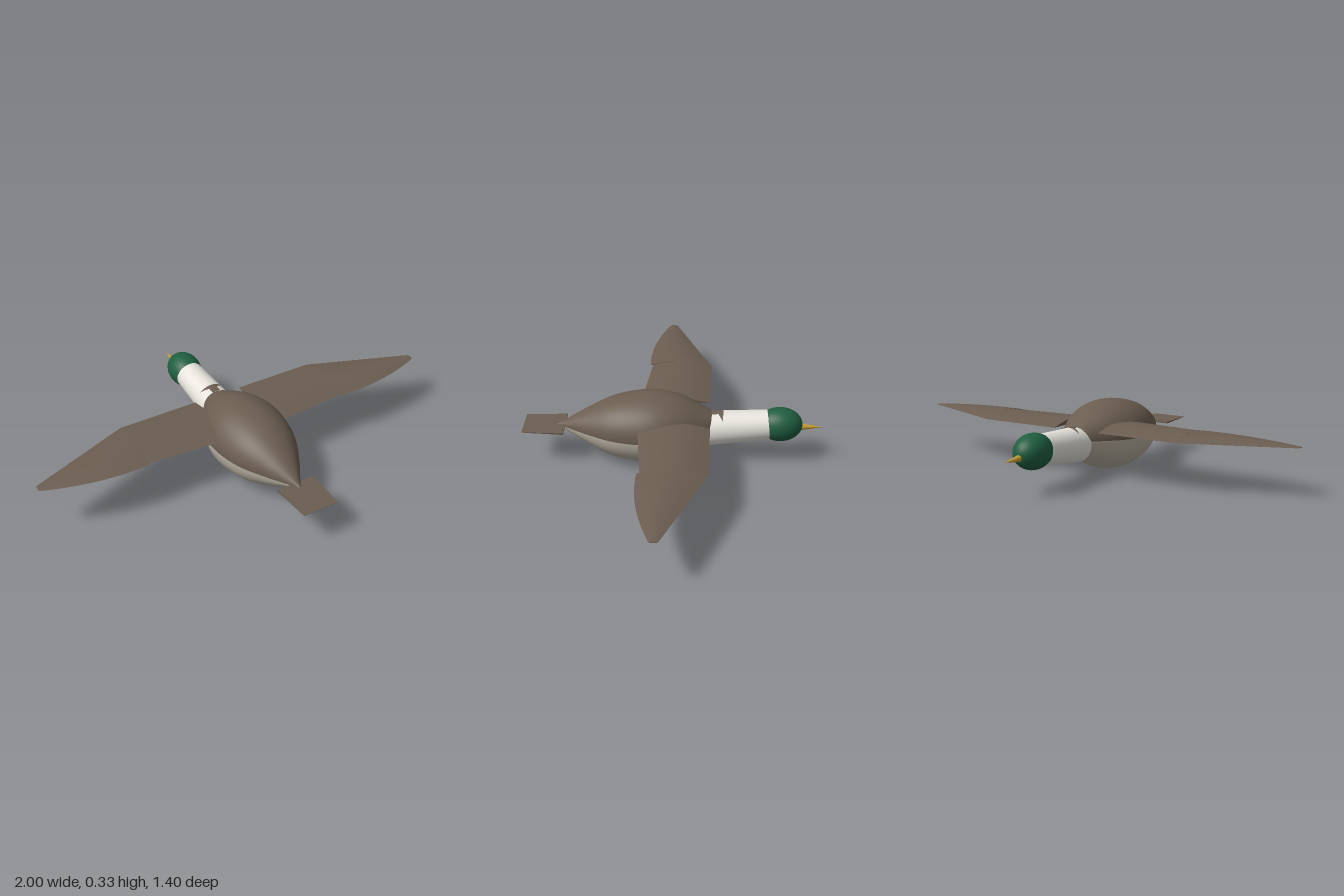
import * as THREE from 'three';
import { ParametricGeometry } from 'three/addons/geometries/ParametricGeometry.js';

const mat = (name, color, side = THREE.FrontSide) =>
  new THREE.MeshStandardMaterial({ name, color, side });

export function createModel() {
  const model = new THREE.Group();
  model.name = 'flyingDuck';
  const brown = mat('featherBrown', 0x6b5d50, THREE.DoubleSide);
  const beige = mat('bellyBeige', 0xb7afa0, THREE.DoubleSide);
  const white = mat('neckWhite', 0xe6e3dc);
  const green = mat('headGreen', 0x1f5e40);
  const gold = mat('beakGold', 0xc8a032);

  const add = (name, geometry, material, parent = model) => {
    const mesh = new THREE.Mesh(geometry, material);
    mesh.name = name;
    parent.add(mesh);
    return mesh;
  };
  const surface = (name, fn, nu, nv, material, parent) =>
    add(name, new ParametricGeometry(fn, nu, nv), material, parent);

  // Body: elliptical sections along z, given as (axis height, radius, z)
  const spine = new THREE.CatmullRomCurve3([
    [0.184, 0.03, -0.225], [0.182, 0.06, -0.185], [0.179, 0.092, -0.13], [0.175, 0.134, -0.05],
    [0.17, 0.16, 0.04], [0.167, 0.165, 0.13], [0.165, 0.14, 0.27], [0.164, 0.081, 0.4],
    [0.163, 0.014, 0.52], [0.163, 0.001, 0.55],
  ].map((p) => new THREE.Vector3(...p)));
  const half = (start) => (u, v, target) => {
    const p = spine.getPoint(v);
    const a = start + u * Math.PI;
    target.set(Math.cos(a) * p.y * 1.12, p.x + Math.sin(a) * p.y, p.z);
  };
  surface('bodyBack', half(0), 24, 40, brown);
  surface('bodyBelly', half(Math.PI), 24, 40, beige);

  // Neck: tapered cylinder rising gently forwards
  const from = new THREE.Vector3(0, 0.161, -0.17);
  const to = new THREE.Vector3(0, 0.187, -0.47);
  const dir = to.clone().sub(from);
  const neck = add('neck', new THREE.CylinderGeometry(0.068, 0.082, dir.length(), 32), white);
  neck.position.copy(from).add(to).multiplyScalar(0.5);
  neck.quaternion.setFromUnitVectors(new THREE.Vector3(0, 1, 0), dir.normalize());

  // Nape: brown feathers curved over the neck, widening towards the head
  surface('napePatch', (u, v, target) => {
    const z = -0.235 + 0.055 * v;
    const k = (-0.17 - z) / 0.3;
    const r = 0.085 - 0.014 * k;
    const a = Math.PI / 2 + (2 * u - 1) * (0.25 + 0.55 * Math.max(0, 1 - 2.5 * v));
    target.set(Math.cos(a) * r, 0.161 + 0.026 * k + Math.sin(a) * r, z);
  }, 12, 10, brown);

  // Head and beak
  const head = add('head', new THREE.SphereGeometry(1, 32, 24), green);
  head.scale.set(0.079, 0.08, 0.105);
  head.position.set(0, 0.188, -0.5);
  const beak = add('beak', new THREE.ConeGeometry(0.02, 0.13, 16), gold);
  beak.rotation.x = -Math.PI / 2;
  beak.position.set(0, 0.176, -0.635);

  // Tail: thin wedge narrowing backwards, beige below
  const tailGeometry = new THREE.BoxGeometry(0.188, 0.008, 0.195);
  const corner = tailGeometry.attributes.position;
  for (let i = 0; i < corner.count; i++) {
    if (corner.getZ(i) > 0) corner.setXY(i, corner.getX(i) * 0.915, corner.getY(i) * 0.15);
  }
  tailGeometry.computeVertexNormals();
  const tail = add('tail', tailGeometry, [brown, brown, brown, beige, brown, brown]);
  tail.position.set(0, 0.163, 0.6025);

  // Wing sections: plan edges and arch height along t
  const inner = {
    name: 'innerWing', x0: 0.12, x1: 0.512,
    lead: () => -0.175, trail: (t) => 0.157 - 0.037 * t, arch: () => 0.026,
  };
  const outer = {
    name: 'outerWing', x0: 0.512, x1: 1,
    lead: (t) => -0.175 + 0.19 * t,
    trail: (t) => 0.133 + 0.03 * t - 0.113 * t * t,
    arch: (t) => 0.024 * (1 - Math.pow(t, 1.5)) + 0.002,
  };
  const place = (w, s, u, t, h, target) => target.set(
    s * (w.x0 + (w.x1 - w.x0) * t),
    0.225 + h * w.arch(t) * Math.sin(Math.PI * u),
    THREE.MathUtils.lerp(w.lead(t), w.trail(t), u));

  for (const s of [1, -1]) {
    const wing = new THREE.Group();
    wing.name = s > 0 ? 'leftWing' : 'rightWing';
    model.add(wing);
    const along = (u, up) => (s * up > 0 ? u : 1 - u);
    const underside = (name, w, t0, t1, material) => surface(name,
      (u, v, p) => place(w, s, along(u, -1), t0 + (t1 - t0) * v, 0, p), 4, 12, material, wing);

    for (const w of [inner, outer]) {
      surface(w.name + 'Top', (u, v, p) => place(w, s, along(u, 1), v, 1, p), 16, 16, brown, wing);
      // End caps close the section
      for (const t of [0, 1]) {
        surface(w.name + 'Cap', (u, v, p) => place(w, s, along(u, t ? -1 : 1), t, v, p), 16, 1, brown, wing);
      }
    }
    // Pale undersides with a brown tip
    underside('innerWingUnderside', inner, 0, 1, beige);
    underside('outerWingUnderside', outer, 0, 0.73, beige);
    underside('wingTipUnderside', outer, 0.73, 1, brown);
  }
  return model;
}
